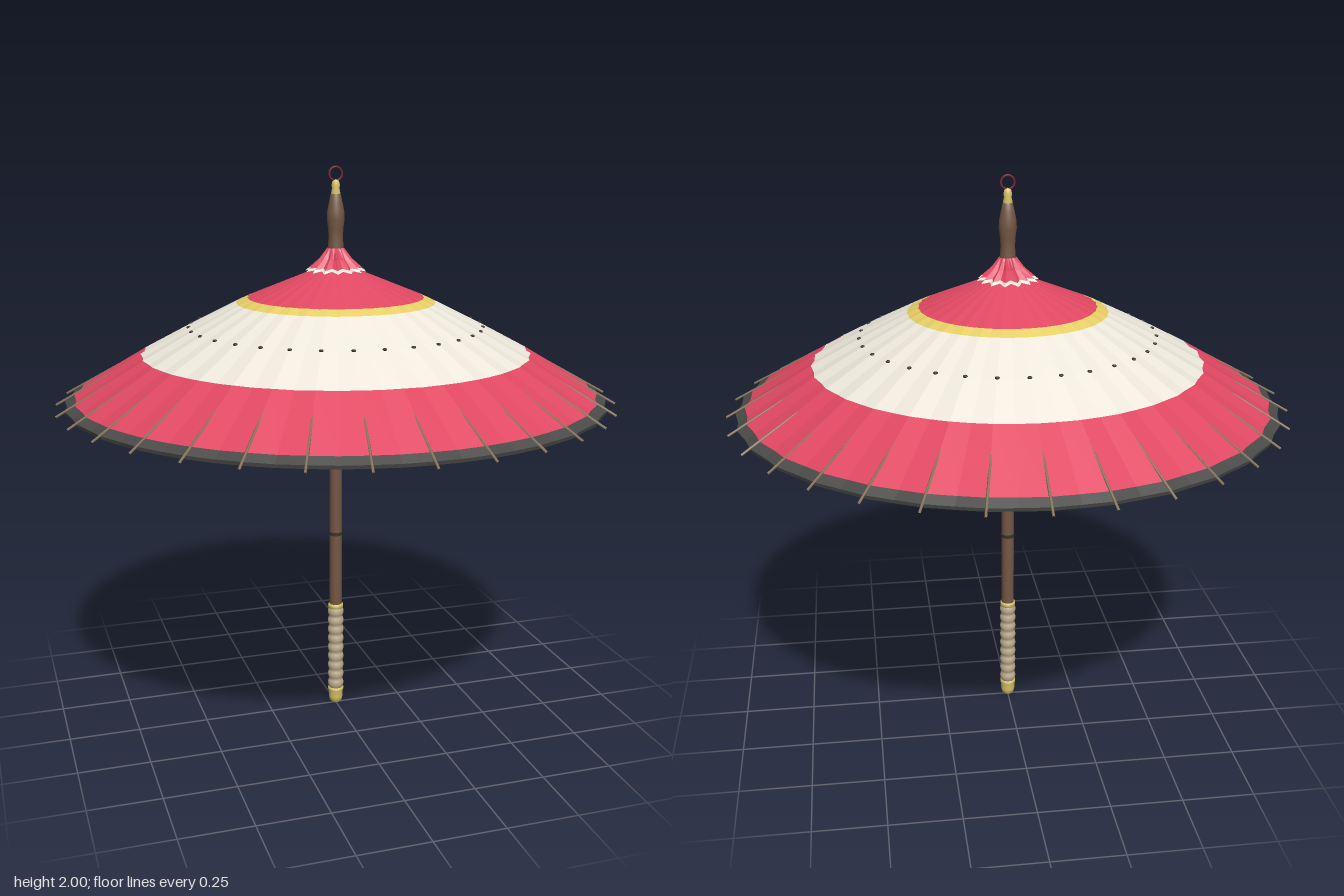
import * as THREE from 'three';
import { mergeGeometries } from 'three/addons/utils/BufferGeometryUtils.js';

const RIBS = 32;
const V = (x, y, z) => new THREE.Vector3(x, y, z);
const polar = (r, y, a) => V(r * Math.cos(a), y, r * Math.sin(a));
const mat = (color, extra = {}) => new THREE.MeshStandardMaterial({ color, ...extra });

const wood = mat(0x745644), bamboo = mat(0x8c7a60), tan = mat(0xbfac90), gold = mat(0xd8c468);
const paper = (color) => mat(color, { flatShading: true, side: THREE.DoubleSide });
const red = paper(0xe04862), white = paper(0xece7da), yellow = paper(0xe6cf66), black = paper(0x4a4a48);
const dark = mat(0x3a322c);

// Canopy slope, radius to height
const slope = [[0.03, 1.668], [0.1, 1.638], [0.31, 1.553], [0.35, 1.535], [0.52, 1.45], [0.685, 1.362], [0.92, 1.222], [0.953, 1.203]];
function heightAt(r) {
  for (let i = 1; i < slope.length; i++) {
    const [r0, y0] = slope[i - 1], [r1, y1] = slope[i];
    if (r <= r1 || i === slope.length - 1) return y0 + (y1 - y0) * (r - r0) / (r1 - r0);
  }
}

// Pleated ring strip: each row is [ridge radius, ridge height, valley radius, valley height]
function pleated(rows, pleats) {
  const n = pleats * 2, pos = [];
  const at = (row, k) => polar(row[k % 2 ? 2 : 0], row[k % 2 ? 3 : 1], k / n * Math.PI * 2);
  for (let j = 0; j + 1 < rows.length; j++) {
    for (let k = 0; k < n; k++) {
      const a = at(rows[j], k), b = at(rows[j], k + 1), c = at(rows[j + 1], k), d = at(rows[j + 1], k + 1);
      for (const p of [a, b, c, b, d, c]) pos.push(p.x, p.y, p.z);
    }
  }
  const g = new THREE.BufferGeometry();
  g.setAttribute('position', new THREE.Float32BufferAttribute(pos, 3));
  g.computeVertexNormals();
  return g;
}

const lathe = (pts, seg = 24) => new THREE.LatheGeometry(pts.map(([r, y]) => new THREE.Vector2(r, y)), seg);

// Thin straight or bent rod through points
function rod(points, radius, sides = 5) {
  const path = new THREE.CurvePath();
  for (let i = 1; i < points.length; i++) path.add(new THREE.LineCurve3(points[i - 1], points[i]));
  return new THREE.TubeGeometry(path, points.length === 2 ? 1 : 10, radius, sides);
}

// Merge one geometry per rib
function around(make, count = RIBS) {
  return mergeGeometries(Array.from({ length: count }, (_, k) => make(k / count * Math.PI * 2, k)));
}

export function createModel() {
  const model = new THREE.Group();
  const add = (name, geometry, material) => {
    const mesh = new THREE.Mesh(geometry, material);
    mesh.name = name;
    model.add(mesh);
    return mesh;
  };

  // Paper canopy in coloured bands, sagging between the ribs
  const row = (r) => [r, heightAt(r), r * 0.988, heightAt(r) - 0.004 * r];
  const band = (name, radii, material) => add(name, pleated(radii.map(row), RIBS), material);
  band('canopyCentre', [0.03, 0.1, 0.31], red);
  band('canopyYellowRing', [0.31, 0.35], yellow);
  band('canopyWhiteBand', [0.35, 0.52, 0.685], white);
  band('canopyOuterBand', [0.685, 0.92], red);
  const rim = [row(0.92), row(0.953)];
  rim.push(rim[1].map((v, i) => (i % 2 ? v - 0.012 : v - 0.003)));
  add('canopyRim', pleated(rim, RIBS), black);

  // Pleated crown cover with pale pointed hem
  add('crownCover', pleated([[0.03, 1.722, 0.027, 1.722], [0.058, 1.685, 0.046, 1.685], [0.096, 1.652, 0.074, 1.657]], 14), red);
  add('crownHem', pleated([[0.096, 1.652, 0.074, 1.657], [0.108, 1.641, 0.086, 1.648]], 14), white);

  // Ribs under the canopy, with tips past the rim
  const ribRadii = [0.035, 0.1, 0.31, 0.52, 0.685, 0.984];
  add('ribs', around((a) => rod(ribRadii.map((r) => polar(r, heightAt(r) - (r > 0.9 ? -0.002 : 0.008), a)), 0.0045)), bamboo);
  add('ribPins', around((a) => {
    const g = new THREE.SphereGeometry(0.008, 8, 6);
    const p = polar(0.515, heightAt(0.515), a);
    return g.scale(1, 0.6, 1).translate(p.x, p.y, p.z);
  }), dark);

  // Stretchers from the runner up to the ribs
  const low = [0.042, 1.125], high = [0.515, 1.428];
  const along = (t, a, drop = 0) => polar(low[0] + (high[0] - low[0]) * t, low[1] + (high[1] - low[1]) * t - drop, a);
  add('stretchers', around((a) => rod([along(0, a), along(1, a)], 0.004)), bamboo);
  add('stretcherBeads', around((a) => {
    const p = along(1, a, 0.008);
    return new THREE.SphereGeometry(0.009, 8, 6).translate(p.x, p.y, p.z);
  }), tan);

  // Thread netting laced between the stretchers
  const lacing = (name, t0, t1, step, material) => {
    const pts = Array.from({ length: RIBS }, (_, k) =>
      along(Math.floor(k / step) % 2 ? t1 : t0, k / RIBS * Math.PI * 2, 0.004));
    const curve = new THREE.CatmullRomCurve3(pts, true);
    add(name, new THREE.TubeGeometry(curve, 192, 0.0025, 4, true), material);
  };
  lacing('innerThread', 0.36, 0.5, 1, gold);
  lacing('middleThread', 0.5, 0.68, 2, mat(0x566068));
  lacing('outerThread', 0.66, 0.84, 1, mat(0x566068));
  lacing('edgeThread', 0.88, 0.88, 1, dark);
  for (const r of [0.14, 0.22]) {
    const ring = add('ribThread', new THREE.TorusGeometry(r, 0.0025, 4, 64), dark);
    ring.rotation.x = Math.PI / 2;
    ring.position.y = heightAt(r) - 0.014;
  }

  // Shaft, top hub and sliding runner
  add('shaft', new THREE.CylinderGeometry(0.021, 0.023, 1.35, 20).translate(0, 1.055, 0), wood);
  add('topHub', lathe([[0.02, 1.57], [0.04, 1.575], [0.05, 1.59], [0.05, 1.625], [0.035, 1.645], [0.02, 1.66]]), wood);
  add('runner', lathe([[0.022, 1.0], [0.026, 1.005], [0.027, 1.09], [0.04, 1.1], [0.048, 1.105], [0.048, 1.118],
    [0.053, 1.122], [0.053, 1.14], [0.04, 1.148], [0.03, 1.19], [0.022, 1.2]]), wood);
  add('shaftCatch', new THREE.BoxGeometry(0.008, 0.035, 0.012).translate(0.026, 1.065, 0), dark);
  add('shaftBand', new THREE.CylinderGeometry(0.0245, 0.0245, 0.012, 20).translate(0, 0.68, 0), dark);

  // Wrapped handle with metal end cap and collar
  const grip = [[0.021, 0.062]];
  const bumps = 9;
  for (let i = 0; i <= bumps * 6; i++) {
    const t = i / 6;
    grip.push([0.0245 + 0.005 * Math.abs(Math.sin(t * Math.PI)), 0.065 + t / bumps * 0.325]);
  }
  grip.push([0.021, 0.392]);
  add('handleGrip', lathe(grip), tan);
  add('handleCollar', lathe([[0.02, 0.386], [0.028, 0.388], [0.028, 0.402], [0.02, 0.405]]), gold);
  add('handleCap', lathe([[0, 0], [0.013, 0.002], [0.023, 0.012], [0.026, 0.028], [0.026, 0.05],
    [0.029, 0.054], [0.029, 0.064], [0.022, 0.068]]), gold);

  // Turned finial with ferrule and hanging loop
  add('finial', lathe([[0.022, 1.7], [0.028, 1.712], [0.027, 1.73], [0.025, 1.76], [0.027, 1.79], [0.031, 1.82],
    [0.03, 1.845], [0.024, 1.875], [0.017, 1.905], [0, 1.91]]), wood);
  add('finialFerrule', lathe([[0.015, 1.9], [0.016, 1.91], [0.013, 1.925], [0.015, 1.935], [0.011, 1.95], [0, 1.955]]), gold);
  add('hangingLoop', new THREE.TorusGeometry(0.023, 0.004, 8, 32).translate(0, 1.973, 0), mat(0x6a2430));

  return model;
}
